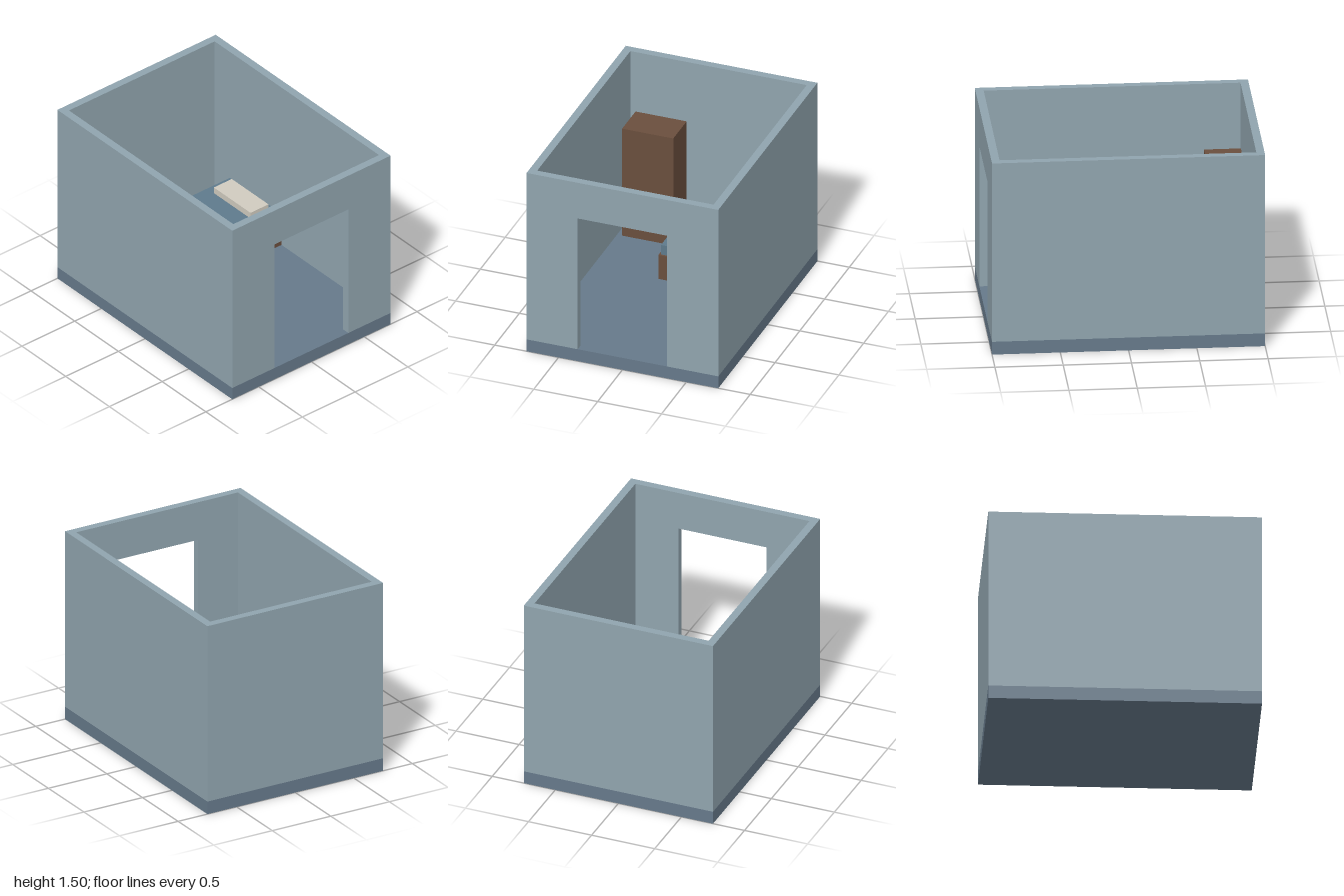
import * as THREE from 'three';

const material = (color) => new THREE.MeshStandardMaterial({ color });

export function createModel() {
  const room = new THREE.Group();
  room.name = 'room';

  const wallMat = material(0x90a4ae);
  const floorMat = material(0x66798a);
  const woodMat = material(0x6a4e3d);
  const mattressMat = material(0x5e7a8c);
  const pillowMat = material(0xd0cbbf);

  // Box given by its lower and upper corners
  function box(name, mat, [x0, y0, z0], [x1, y1, z1], parent = room) {
    const mesh = new THREE.Mesh(new THREE.BoxGeometry(x1 - x0, y1 - y0, z1 - z0), mat);
    mesh.position.set((x0 + x1) / 2, (y0 + y1) / 2, (z0 + z1) / 2);
    mesh.name = name;
    parent.add(mesh);
    return mesh;
  }

  const W = 1, D = 0.75, H = 1.5, T = 0.06, F = 0.1;
  const inX = W - T, inZ = D - T;

  // Floor slab and the three solid walls
  box('floor', floorMat, [-W, 0, -D], [W, F, D]);
  box('frontWall', wallMat, [-W, F, inZ], [W, H, D]);
  box('backWall', wallMat, [-W, F, -D], [W, H, -inZ]);
  box('rightWall', wallMat, [-W, F, -inZ], [-inX, H, inZ]);

  // Wall with the doorway, drawn in (z, y) and extruded along x
  const doorHalf = 0.35, doorTop = 1.2;
  const outline = new THREE.Shape([
    [-inZ, F], [-doorHalf, F], [-doorHalf, doorTop], [doorHalf, doorTop],
    [doorHalf, F], [inZ, F], [inZ, H], [-inZ, H],
  ].map(([z, y]) => new THREE.Vector2(z, y)));
  const doorWall = new THREE.Mesh(
    new THREE.ExtrudeGeometry(outline, { depth: T, bevelEnabled: false }), wallMat);
  doorWall.rotation.y = Math.PI / 2;
  doorWall.position.x = inX;
  doorWall.name = 'doorwayWall';
  room.add(doorWall);

  // Bed against the back wall
  const bed = new THREE.Group();
  bed.name = 'bed';
  room.add(bed);
  box('bedFrame', woodMat, [-0.775, F, -inZ], [-0.175, 0.3, 0.175], bed);
  box('mattress', mattressMat, [-0.765, 0.3, -inZ], [-0.19, 0.38, 0.16], bed);
  box('pillow', pillowMat, [-0.69, 0.38, -0.645], [-0.27, 0.43, -0.475], bed);

  // Wardrobe in the corner
  box('wardrobe', woodMat, [-inX, F, 0.25], [-0.67, 1, 0.65]);

  return room;
}
